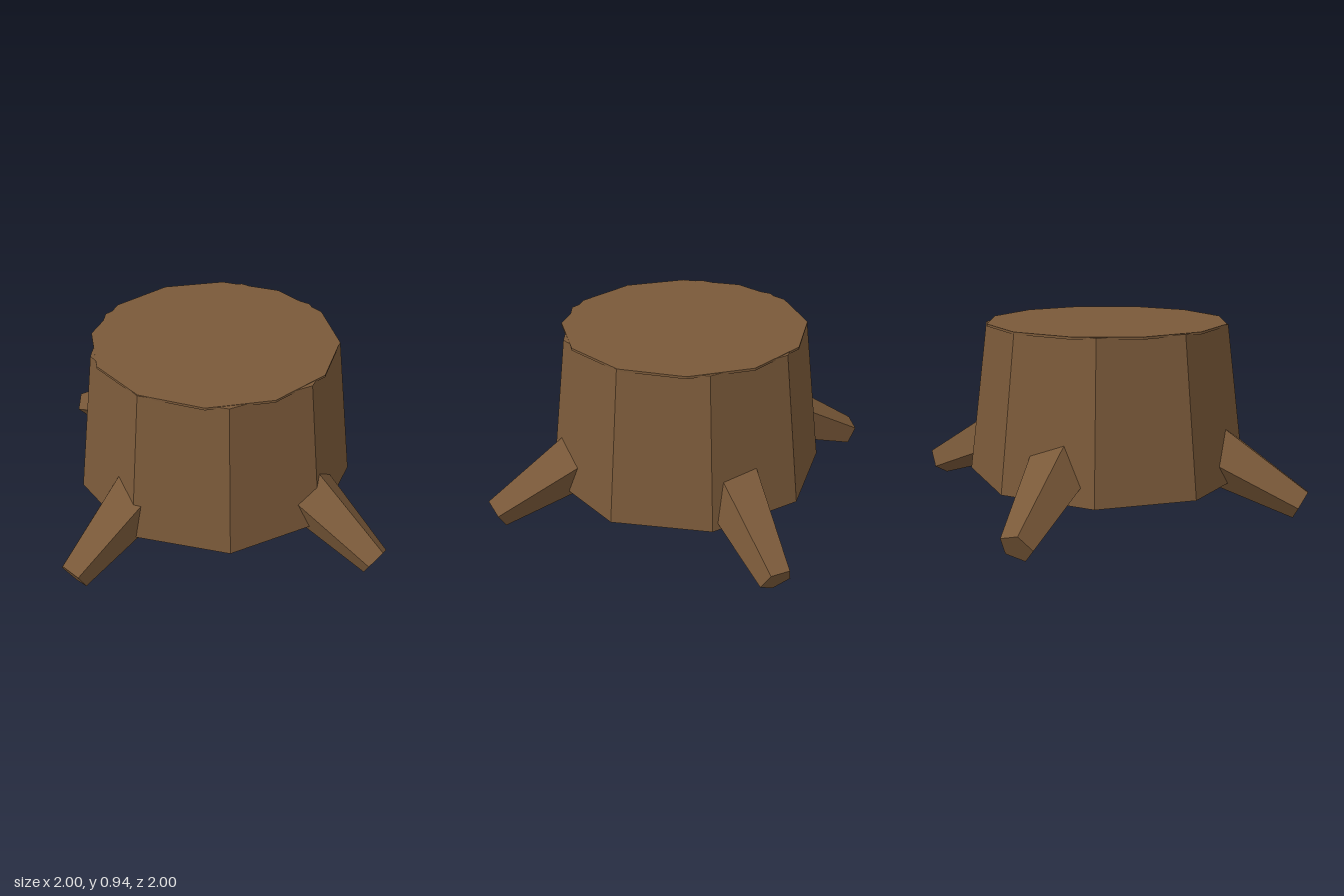
import * as THREE from 'three';

export function createModel() {
  const model = new THREE.Group();
  model.name = 'treeStump';
  const bark = new THREE.MeshStandardMaterial({ color: 0x7a5939, flatShading: true });
  bark.name = 'barkBrown';

  const add = (name, geometry) => {
    const mesh = new THREE.Mesh(geometry, bark);
    mesh.name = name;
    model.add(mesh);
  };

  // Nine-sided tapering trunk
  const bottom = 0.167, top = 0.942;
  add('trunk', new THREE.CylinderGeometry(0.622, 0.724, top - bottom, 9)
    .rotateY(Math.PI)
    .translate(-0.005, (top + bottom) / 2, 0.003));

  // Thin cut surface whose corners poke slightly past the trunk
  add('cutTop', new THREE.CylinderGeometry(0.62, 0.62, 0.012, 12)
    .translate(-0.003, top - 0.004, 0));

  // Four five-sided roots sloping down and outwards, each rolled differently
  const slope = THREE.MathUtils.degToRad(26), length = 0.83;
  const roots = [
    ['frontRoot', 0], ['leftRoot', 180], ['backRoot', -18], ['rightRoot', 18],
  ];
  roots.forEach(([name, roll], i) => {
    add(name, new THREE.CylinderGeometry(0.082, 0.21, length, 5)
      .rotateY(Math.PI + THREE.MathUtils.degToRad(roll))
      .rotateX(Math.PI / 2 + slope)
      .translate(0, 0.08 + Math.sin(slope) * length / 2, 1.04 - Math.cos(slope) * length / 2)
      .rotateY(THREE.MathUtils.degToRad(22.9 + 90 * i)));
  });

  return model;
}
